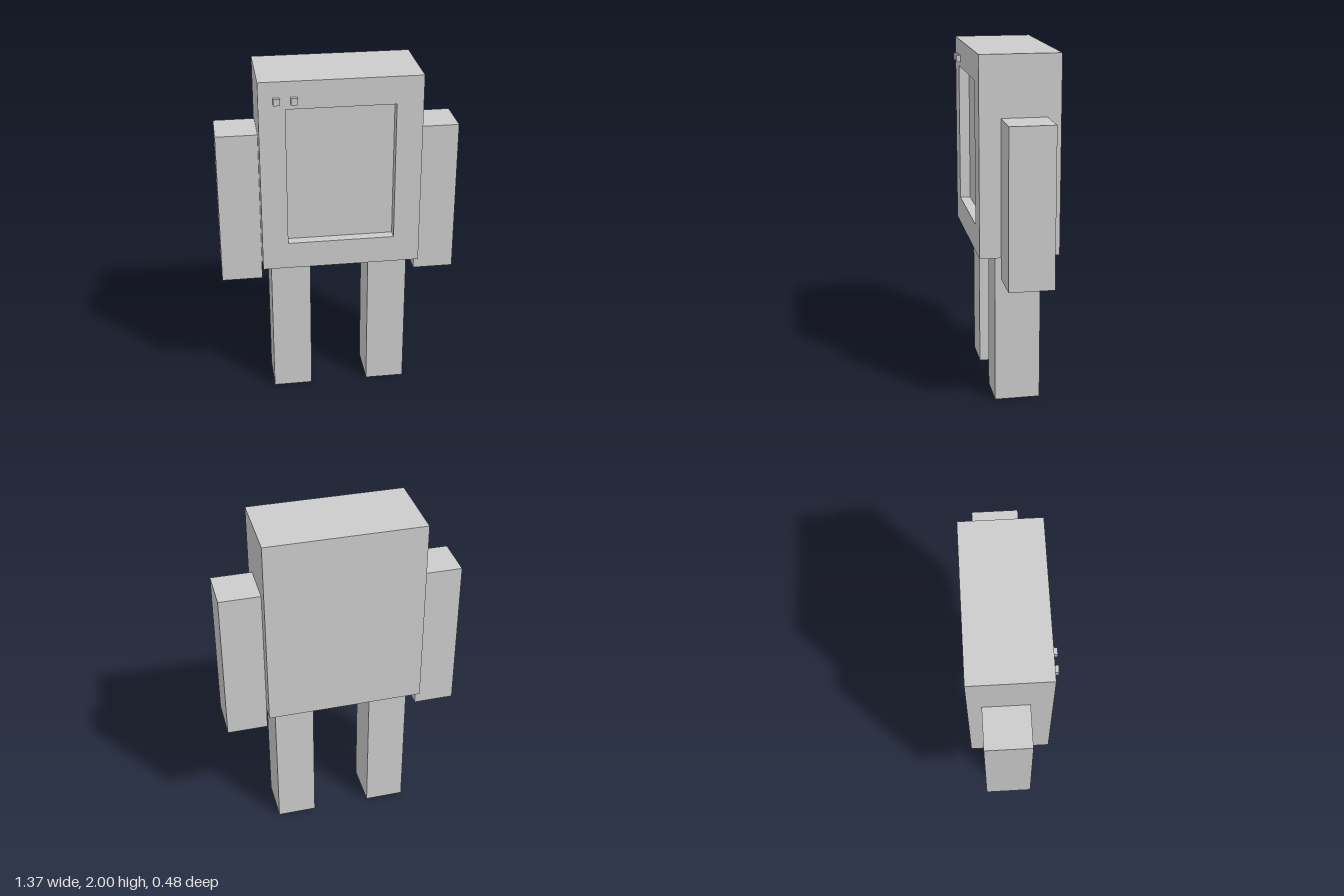
import * as THREE from 'three';

const material = new THREE.MeshStandardMaterial({ color: 0xcccccc, flatShading: true });

// Box given by its extents on each axis
function block(name, [x0, x1], [y0, y1], [z0, z1]) {
  const mesh = new THREE.Mesh(new THREE.BoxGeometry(x1 - x0, y1 - y0, z1 - z0), material);
  mesh.position.set((x0 + x1) / 2, (y0 + y1) / 2, (z0 + z1) / 2);
  mesh.name = name;
  return mesh;
}

function rectangle(PathType, x0, x1, y0, y1) {
  return new PathType().moveTo(x0, y0).lineTo(x1, y0).lineTo(x1, y1).lineTo(x0, y1).closePath();
}

export function createModel() {
  const model = new THREE.Group();
  model.name = 'boxRobot';

  const back = -0.238, front = 0.214, recess = 0.06;
  const bottom = 0.875, top = 2, halfWidth = 0.452;

  // Body: solid rear block with a screen frame in front of it
  const body = new THREE.Group();
  body.name = 'body';
  body.add(block('bodyBlock', [-halfWidth, halfWidth], [bottom, top], [back, front - recess]));

  const outline = rectangle(THREE.Shape, -halfWidth, halfWidth, bottom, top);
  outline.holes.push(rectangle(THREE.Path, -0.305, 0.303, 1.033, 1.842));
  const frame = new THREE.Mesh(
    new THREE.ExtrudeGeometry(outline, { depth: recess, bevelEnabled: false }), material);
  frame.position.z = front - recess;
  frame.name = 'screenFrame';
  body.add(frame);
  model.add(body);

  // Two small buttons above the screen
  for (const x of [-0.353, -0.257]) {
    model.add(block('button', [x - 0.019, x + 0.019], [1.873, 1.911], [front, 0.238]));
  }

  // Arms and legs
  for (const side of [-1, 1]) {
    const span = (a, b) => [side * a, side * b].sort((p, q) => p - q);
    const label = side > 0 ? 'left' : 'right';
    model.add(block(label + 'Arm', span(halfWidth, 0.687), [0.753, 1.657], [-0.161, 0.095]));
    model.add(block(label + 'Leg', span(0.171, 0.4), [0, bottom], [-0.14, 0.12]));
  }
  return model;
}
